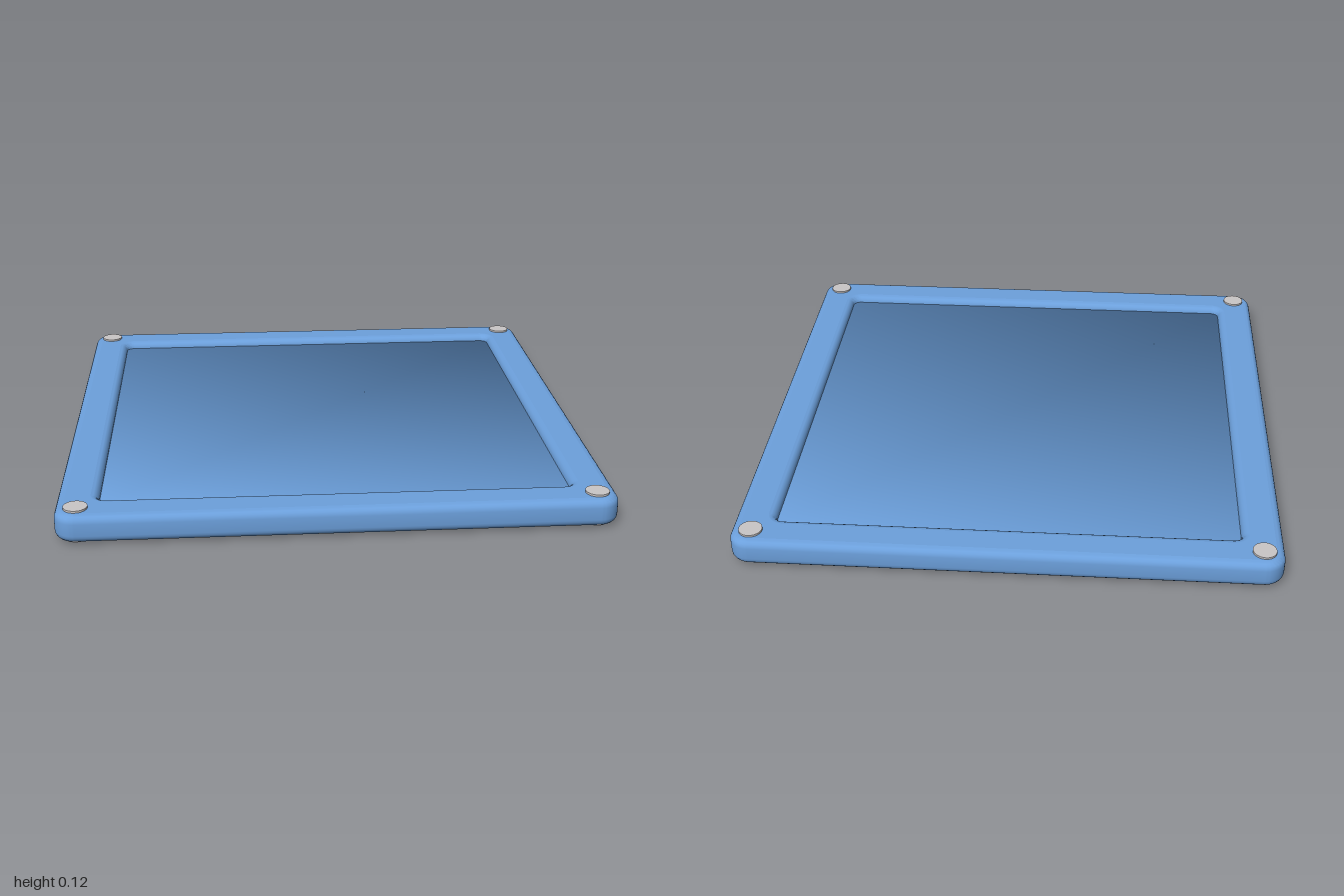
import * as THREE from 'three';
import { toCreasedNormals } from 'three/addons/utils/BufferGeometryUtils.js';

const blue = new THREE.MeshStandardMaterial({ color: 0x6ca0dc });
blue.name = 'blue plastic';
const silver = new THREE.MeshStandardMaterial({ color: 0xcac6c6 });
silver.name = 'silver metal';

// Square outline of half size h with corner radius r
function roundedSquare(path, h, r) {
  const c = h - r;
  path.absarc(c, c, r, 0, Math.PI / 2);
  path.absarc(-c, c, r, Math.PI / 2, Math.PI);
  path.absarc(-c, -c, r, Math.PI, Math.PI * 1.5);
  path.absarc(c, -c, r, Math.PI * 1.5, Math.PI * 2);
  path.closePath();
  return path;
}

// Square ring with rounded edges; its caps stay flat
function frameGeometry() {
  const bevel = 0.03, height = 0.105;
  const shape = roundedSquare(new THREE.Shape(), 1 - bevel, 0.045);
  shape.holes.push(roundedSquare(new THREE.Path(), 0.85 + bevel, 0.06));
  const raw = new THREE.ExtrudeGeometry(shape, {
    depth: height - 2 * bevel, bevelThickness: bevel, bevelSize: bevel,
    bevelSegments: 5, curveSegments: 8,
  });
  raw.rotateX(-Math.PI / 2);
  raw.translate(0, 0.0075 + bevel, 0);
  const geometry = toCreasedNormals(raw, 0.7);
  const p = geometry.attributes.position, n = geometry.attributes.normal;
  for (let i = 0; i < p.count; i += 3) {
    const y = p.getY(i);
    if (Math.abs(y - p.getY(i + 1)) > 1e-5 || Math.abs(y - p.getY(i + 2)) > 1e-5) continue;
    for (let k = 0; k < 3; k++) n.setXYZ(i + k, 0, y > 0.06 ? 1 : -1, 0);
  }
  return geometry;
}

// Thin box whose corner normals are shared by the three faces that meet there
function panelGeometry() {
  const geometry = new THREE.BoxGeometry(1.72, 0.05, 1.72);
  const p = geometry.attributes.position, n = geometry.attributes.normal;
  const s = 1 / Math.sqrt(3);
  for (let i = 0; i < p.count; i++) {
    n.setXYZ(i, s * Math.sign(p.getX(i)), s * Math.sign(p.getY(i)), s * Math.sign(p.getZ(i)));
  }
  return geometry;
}

export function createModel() {
  const model = new THREE.Group();
  model.name = 'squarePanel';
  const add = (name, geometry, material, x = 0, y = 0, z = 0) => {
    const mesh = new THREE.Mesh(geometry, material);
    mesh.name = name;
    mesh.position.set(x, y, z);
    model.add(mesh);
  };

  add('frame', frameGeometry(), blue);
  add('infillPanel', panelGeometry(), blue, 0, 0.06, 0);

  // Round pins through the four corners
  const pin = new THREE.CylinderGeometry(0.043, 0.043, 0.12, 32);
  for (const x of [-1, 1]) {
    for (const z of [-1, 1]) {
      add(`${z > 0 ? 'front' : 'back'}${x > 0 ? 'Left' : 'Right'}Pin`, pin, silver, x * 0.925, 0.06, z * 0.925);
    }
  }
  return model;
}
